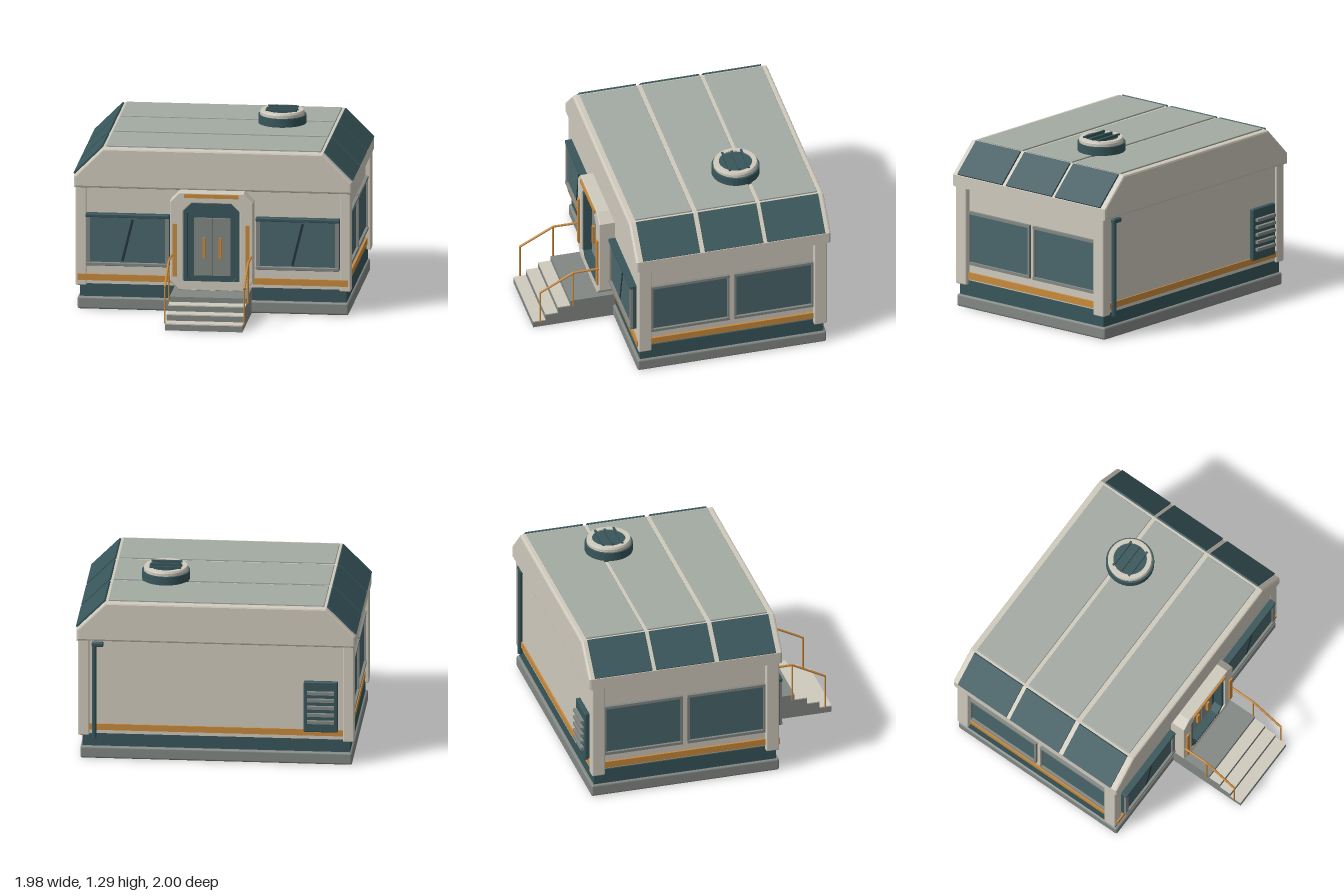
import * as THREE from 'three';
import { RoundedBoxGeometry } from 'three/addons/geometries/RoundedBoxGeometry.js';

const mat = (name, color) => {
  const m = new THREE.MeshStandardMaterial({ color });
  m.name = name;
  return m;
};

export function createModel() {
  const root = new THREE.Group();
  root.name = 'cabin';
  const cream = mat('cream', 0xd0cabd), grey = mat('grey', 0x838884), roofGrey = mat('roofGrey', 0xa4aba3);
  const teal = mat('teal', 0x38565b), glass = mat('glass', 0x4a666b), orange = mat('orange', 0xc98a3c);
  const dark = mat('darkTeal', 0x22363b);

  const add = (name, geo, m, parent = root) => {
    const mesh = new THREE.Mesh(geo, m);
    mesh.name = name;
    parent.add(mesh);
    return mesh;
  };
  // Box given by its bounds, optionally with rounded edges
  const box = (name, m, x0, x1, y0, y1, z0, z1, r = 0, parent = root) => {
    const s = [x1 - x0, y1 - y0, z1 - z0];
    const geo = r ? new RoundedBoxGeometry(...s, 2, r) : new THREE.BoxGeometry(...s);
    const mesh = add(name, geo, m, parent);
    mesh.position.set((x0 + x1) / 2, (y0 + y1) / 2, (z0 + z1) / 2);
    return mesh;
  };
  // Round bar between two points
  const bar = (name, m, a, b, r) => {
    const A = new THREE.Vector3(...a), B = new THREE.Vector3(...b), d = B.clone().sub(A);
    const mesh = add(name, new THREE.CylinderGeometry(r, r, d.length(), 10), m);
    mesh.position.copy(A).add(B).multiplyScalar(0.5);
    mesh.quaternion.setFromUnitVectors(new THREE.Vector3(0, 1, 0), d.normalize());
    return mesh;
  };
  // Rectangle with cut corners
  const octagon = (w, y0, y1, c) => [
    [-w + c, y0], [w - c, y0], [w, y0 + c], [w, y1 - c],
    [w - c, y1], [-w + c, y1], [-w, y1 - c], [-w, y0 + c],
  ].map(p => new THREE.Vector2(...p));
  const extrude = (name, m, pts, hole, z0, z1, bevel) => {
    const shape = new THREE.Shape(pts);
    if (hole) shape.holes.push(new THREE.Path(hole));
    const geo = new THREE.ExtrudeGeometry(shape, {
      depth: z1 - z0 - 2 * bevel, bevelEnabled: bevel > 0, bevelSize: bevel,
      bevelThickness: bevel, bevelOffset: -bevel, bevelSegments: 2,
    });
    geo.translate(0, 0, z0 + bevel);
    return add(name, geo, m);
  };

  // Foundation and walls
  box('plinth', grey, -0.96, 0.96, 0, 0.09, -0.955, 0.42, 0.015);
  box('base', teal, -0.945, 0.945, 0.08, 0.2, -0.935, 0.4);
  box('walls', cream, -0.935, 0.935, 0.185, 0.9, -0.942, 0.405);
  box('frontWall', cream, -0.97, 0.97, 0.185, 0.9, 0.34, 0.412);
  for (const s of [-1, 1]) {
    for (const [z0, z1] of [[0.32, 0.416], [-0.955, -0.86]]) {
      const x = [s * 0.895, s * 0.975].sort((a, b) => a - b);
      box('cornerPost', cream, ...x, 0.17, 0.9, z0, z1, 0.01);
    }
  }

  // Orange stripes around the walls
  box('backStripe', orange, -0.895, 0.895, 0.212, 0.257, -0.952, -0.94);
  for (const s of [-1, 1]) {
    box('frontStripe', orange, s > 0 ? 0.285 : -0.957, s > 0 ? 0.957 : -0.285, 0.21, 0.255, 0.4, 0.426);
    box('sideStripe', orange, s * 0.94 - 0.01, s * 0.94 + 0.01, 0.212, 0.26, -0.86, 0.32);
  }

  // Side windows, two on each side
  for (const s of [-1, 1]) {
    for (const [z0, z1] of [[-0.25, 0.32], [-0.86, -0.285]]) {
      const g = new THREE.Group();
      g.name = 'sideWindow';
      root.add(g);
      const xr = (a, b) => s > 0 ? [a, b] : [-b, -a];
      box('pane', glass, ...xr(0.93, 0.94), 0.325, 0.7, z0, z1, 0, g);
      for (const y of [0.32, 0.69]) box('frameRail', grey, ...xr(0.93, 0.958), y, y + 0.02, z0, z1, 0, g);
      for (const z of [z0, z1 - 0.015]) box('frameSide', grey, ...xr(0.93, 0.955), 0.32, 0.71, z, z + 0.015, 0, g);
    }
  }

  // Front windows
  for (const cx of [-0.602, 0.602]) {
    const g = new THREE.Group();
    g.name = 'frontWindow';
    g.position.x = cx;
    root.add(g);
    box('casing', teal, -0.297, 0.297, 0.327, 0.7, 0.4, 0.44, 0.005, g);
    box('pane', glass, -0.27, 0.27, 0.345, 0.68, 0.436, 0.444, 0, g);
    box('topBar', teal, -0.297, 0.297, 0.675, 0.7, 0.41, 0.462, 0.005, g);
    box('bottomBar', grey, -0.295, 0.295, 0.325, 0.35, 0.41, 0.462, 0.005, g);
    for (const s of [-1, 1]) box('sideBar', grey, s * 0.28 - 0.014, s * 0.28 + 0.014, 0.345, 0.68, 0.41, 0.456, 0, g);
    const streak = box('glint', dark, -0.009, 0.009, 0.355, 0.665, 0.44, 0.447, 0, g);
    streak.rotation.z = -0.24;
  }

  // Roof shell with sloped sides
  const half = [[0.985, 0.88], [0.985, 0.965], [0.78, 1.17]];
  const profile = [...half, ...half.map(([x, y]) => [-x, y]).reverse()].map(p => new THREE.Vector2(...p));
  extrude('roof', cream, profile, null, -0.98, 0.437, 0.015);

  // Roof panels: three flat, three on each slope
  for (const [z0, z1] of [[-0.937, -0.517], [-0.487, -0.063], [-0.027, 0.387]]) {
    box('roofPanel', roofGrey, -0.762, 0.762, 1.16, 1.181, z0, z1, 0.004);
    for (const s of [-1, 1]) {
      const p = add('slopePanel', new THREE.BoxGeometry(0.285, 0.024, z1 - z0), teal);
      p.position.set(s * 0.882, 1.069, (z0 + z1) / 2);
      p.rotation.z = -s * Math.PI / 4;
    }
  }

  // Roof vent
  const vent = new THREE.Group();
  vent.name = 'roofVent';
  vent.position.set(0.395, 0, -0.44);
  root.add(vent);
  const drum = add('ventBase', new THREE.CylinderGeometry(0.17, 0.17, 0.07, 40), teal, vent);
  drum.position.y = 1.207;
  const ring = [[0.118, 1.23], [0.157, 1.23], [0.157, 1.262], [0.15, 1.276], [0.118, 1.276], [0.118, 1.23]];
  const flat = new THREE.LatheGeometry(ring.map(p => new THREE.Vector2(...p)), 40).toNonIndexed();
  flat.computeVertexNormals();
  add('ventRing', flat, cream, vent);
  const cap = add('ventGrille', new THREE.CylinderGeometry(0.12, 0.12, 0.03, 40), teal, vent);
  cap.position.y = 1.252;
  for (const z of [-0.068, 0, 0.068]) box('ventSlat', teal, -0.11, 0.11, 1.265, 1.288, z - 0.007, z + 0.007, 0, vent);

  // Entrance portal and double door
  extrude('portal', cream, octagon(0.293, 0.18, 0.885, 0.065), octagon(0.2, 0.19, 0.81, 0.06), 0.4, 0.525, 0.006);
  extrude('doorSurround', teal, octagon(0.207, 0.183, 0.817, 0.06), octagon(0.172, 0.215, 0.785, 0.05), 0.41, 0.512, 0);
  extrude('doorBacking', teal, octagon(0.19, 0.2, 0.8, 0.055), null, 0.41, 0.45, 0);
  for (const s of [-1, 1]) {
    const x = s > 0 ? [0.002, 0.128] : [-0.128, -0.002];
    box('doorLeaf', grey, ...x, 0.275, 0.69, 0.44, 0.465);
    box('doorHandle', orange, s * 0.058 - 0.01, s * 0.058 + 0.01, 0.402, 0.55, 0.46, 0.485);
    box('sideLamp', orange, s * 0.257 - 0.015, s * 0.257 + 0.015, 0.28, 0.66, 0.515, 0.537);
  }
  box('topLamp', orange, -0.193, 0.193, 0.85, 0.877, 0.515, 0.537);

  // Landing and steps with pale treads
  box('landing', grey, -0.273, 0.273, 0, 0.18, 0.4, 0.73);
  [[0.73, 0.82, 0.143], [0.82, 0.91, 0.097], [0.91, 1, 0.05]].forEach(([z0, z1, h]) => {
    box('step', grey, -0.273, 0.273, 0, h - 0.008, z0, z1);
    box('tread', cream, -0.273, 0.273, h - 0.008, h, z0, z1);
  });

  // Handrails
  for (const s of [-1, 1]) {
    const x = s * 0.281;
    bar('railPost', orange, [x, 0.04, 0.95], [x, 0.3, 0.95], 0.006);
    bar('railPost', orange, [x, 0.14, 0.71], [x, 0.43, 0.71], 0.006);
    bar('slopedRail', orange, [x, 0.3, 0.953], [x, 0.43, 0.71], 0.008);
    bar('levelRail', orange, [x, 0.43, 0.712], [x, 0.43, 0.52], 0.008);
  }

  // Back louvre and downpipe
  box('louvrePanel', teal, -0.86, -0.62, 0.245, 0.62, -0.975, -0.94, 0.008);
  for (let i = 0; i < 5; i++) {
    const y = 0.325 + i * 0.054;
    box('louvreSlat', grey, -0.835, -0.645, y - 0.011, y + 0.011, -1, -0.97);
  }
  bar('downpipe', teal, [0.86, 0.16, -0.957], [0.86, 0.86, -0.957], 0.018);
  box('pipeElbow', teal, 0.795, 0.878, 0.835, 0.87, -0.975, -0.94, 0.01);

  return root;
}
